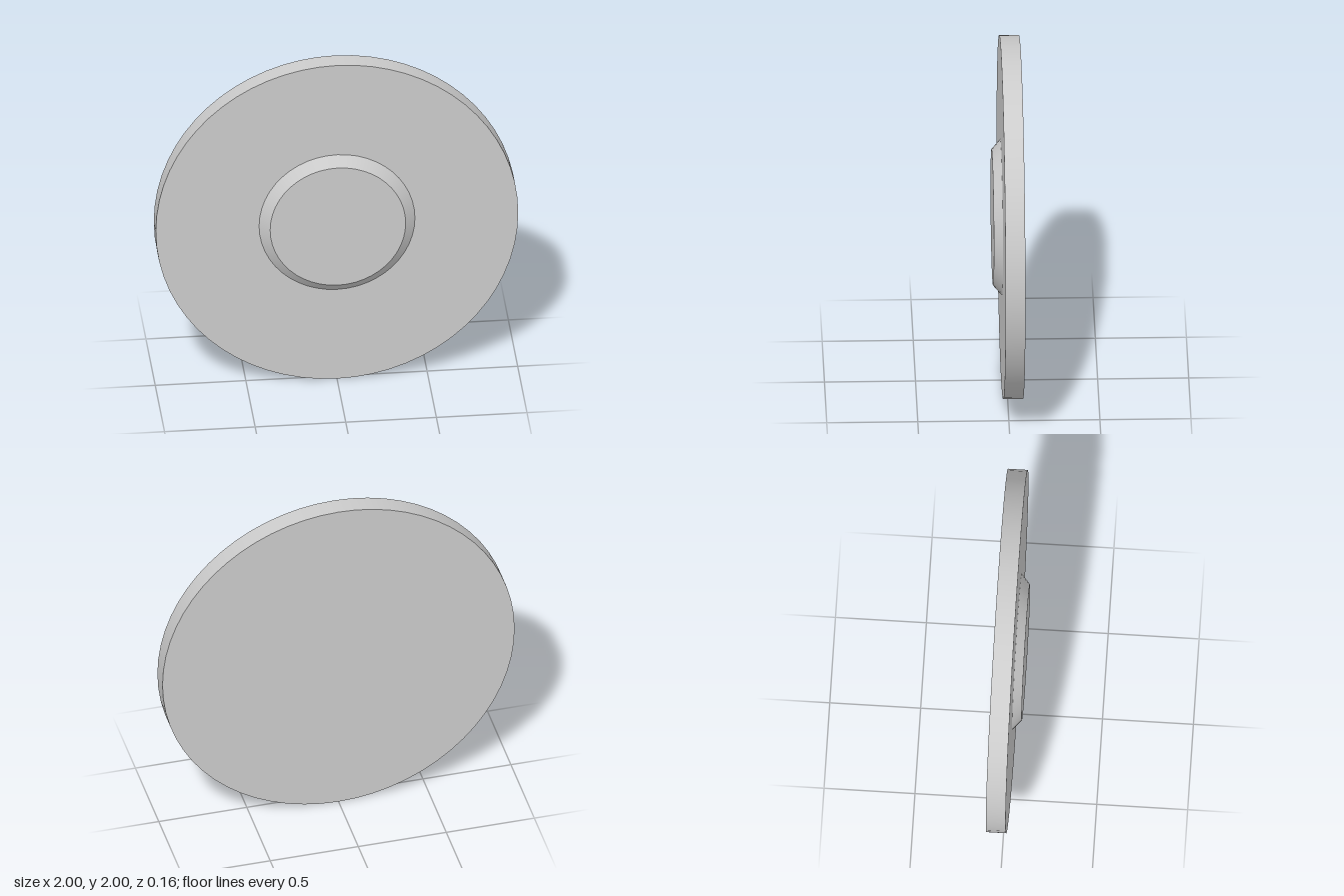
import * as THREE from 'three';

export function createModel() {
  const group = new THREE.Group();
  const material = new THREE.MeshStandardMaterial({ color: 0xcccccc });

  // Round slab facing +z, running from zBack to zFront
  function addDisc(name, frontRadius, backRadius, zBack, zFront, segments) {
    const geometry = new THREE.CylinderGeometry(frontRadius, backRadius, zFront - zBack, segments);
    geometry.rotateX(Math.PI / 2);
    const mesh = new THREE.Mesh(geometry, material);
    mesh.name = name;
    mesh.position.set(0, 1, (zBack + zFront) / 2);
    group.add(mesh);
  }

  // Main plate
  addDisc('disc', 1, 1, -0.079, 0.03, 64);
  // Raised centre with a sloped rim, sunk slightly into the plate
  addDisc('centreBoss', 0.374, 0.43, 0.03, 0.079, 48);

  return group;
}
